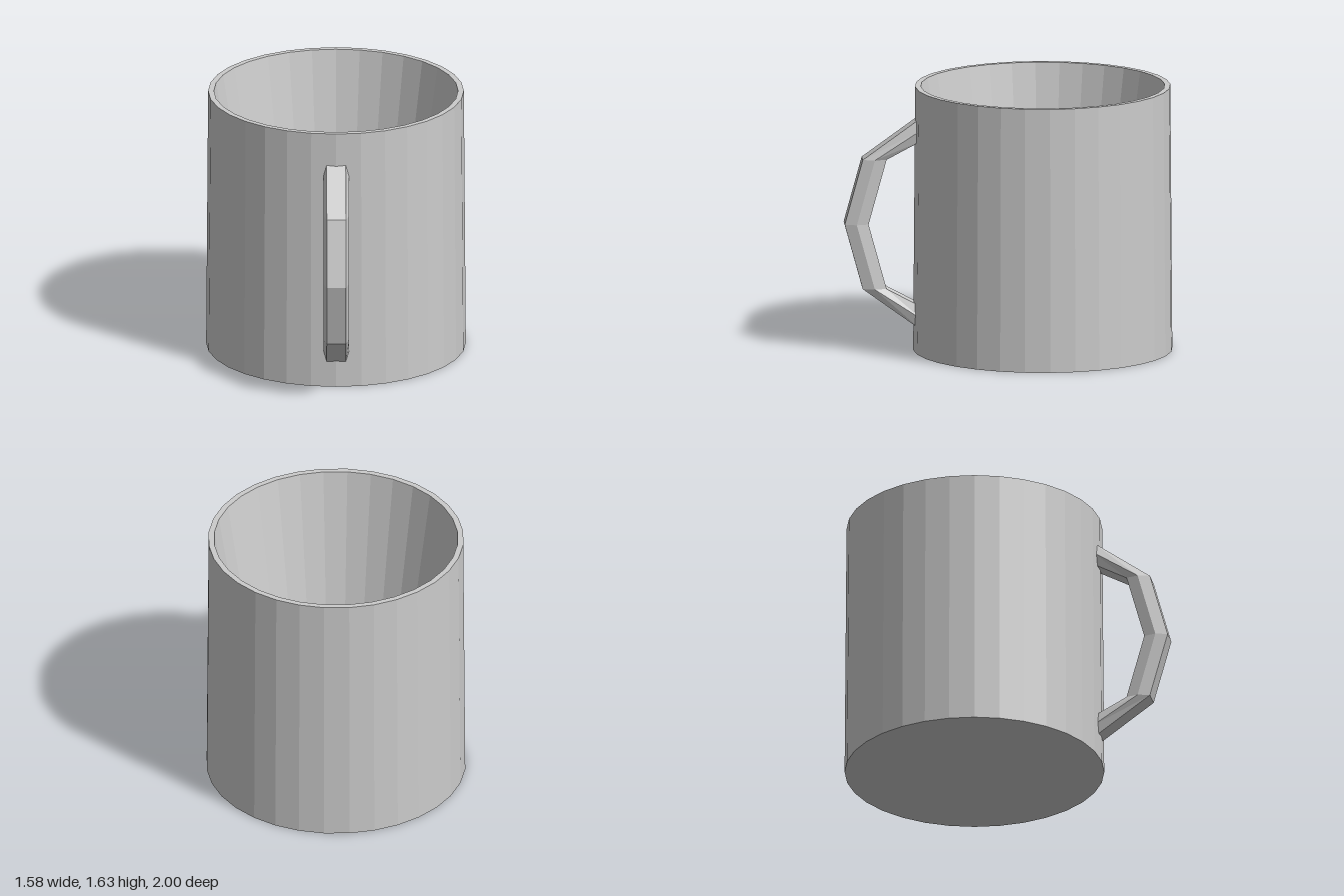
import * as THREE from 'three';

const material = new THREE.MeshStandardMaterial({ color: 0xcccccc, flatShading: true });

// Hexagonal bar swept through stations of [outer z, y, inner z, y]
function hexBar(stations, flat, wide) {
  const positions = [];
  const indices = [];
  for (const [oz, oy, iz, iy] of stations) {
    const mz = (oz + iz) / 2, my = (oy + iy) / 2;
    positions.push(-flat, oy, oz, flat, oy, oz, wide, my, mz);
    positions.push(flat, iy, iz, -flat, iy, iz, -wide, my, mz);
  }
  for (let i = 0; i < stations.length - 1; i++) {
    for (let j = 0; j < 6; j++) {
      const a = i * 6 + j, b = i * 6 + (j + 1) % 6;
      indices.push(a, a + 6, b, b, a + 6, b + 6);
    }
  }
  const geometry = new THREE.BufferGeometry();
  geometry.setAttribute('position', new THREE.Float32BufferAttribute(positions, 3));
  geometry.setIndex(indices);
  geometry.computeVertexNormals();
  return geometry;
}

export function createModel() {
  const group = new THREE.Group();
  group.name = 'mug';

  // Cup: nearly straight outside, thin rim, tapering inside down to the floor
  const profile = [
    [0, 0], [0.79, 0], [0.778, 1.63], [0.743, 1.63], [0.495, 0.08], [0, 0.08],
  ].map(([r, y]) => new THREE.Vector2(r, y));
  const cup = new THREE.Mesh(new THREE.LatheGeometry(profile, 32), material);
  cup.name = 'cup';
  cup.position.z = -0.21;
  group.add(cup);

  // Handle: upper half mirrored about its middle, ends sunk into the wall
  const middle = 0.79;
  const upper = [
    [0.53, 1.45, 0.53, 1.305],
    [0.89, 1.19, 0.745, 1.19],
  ];
  const lower = upper.map(([oz, oy, iz, iy]) => [oz, 2 * middle - oy, iz, 2 * middle - iy]).reverse();
  const stations = [...upper, [1, middle, 0.855, middle], ...lower];
  const handle = new THREE.Mesh(hexBar(stations, 0.058, 0.078), material);
  handle.name = 'handle';
  group.add(handle);

  return group;
}
